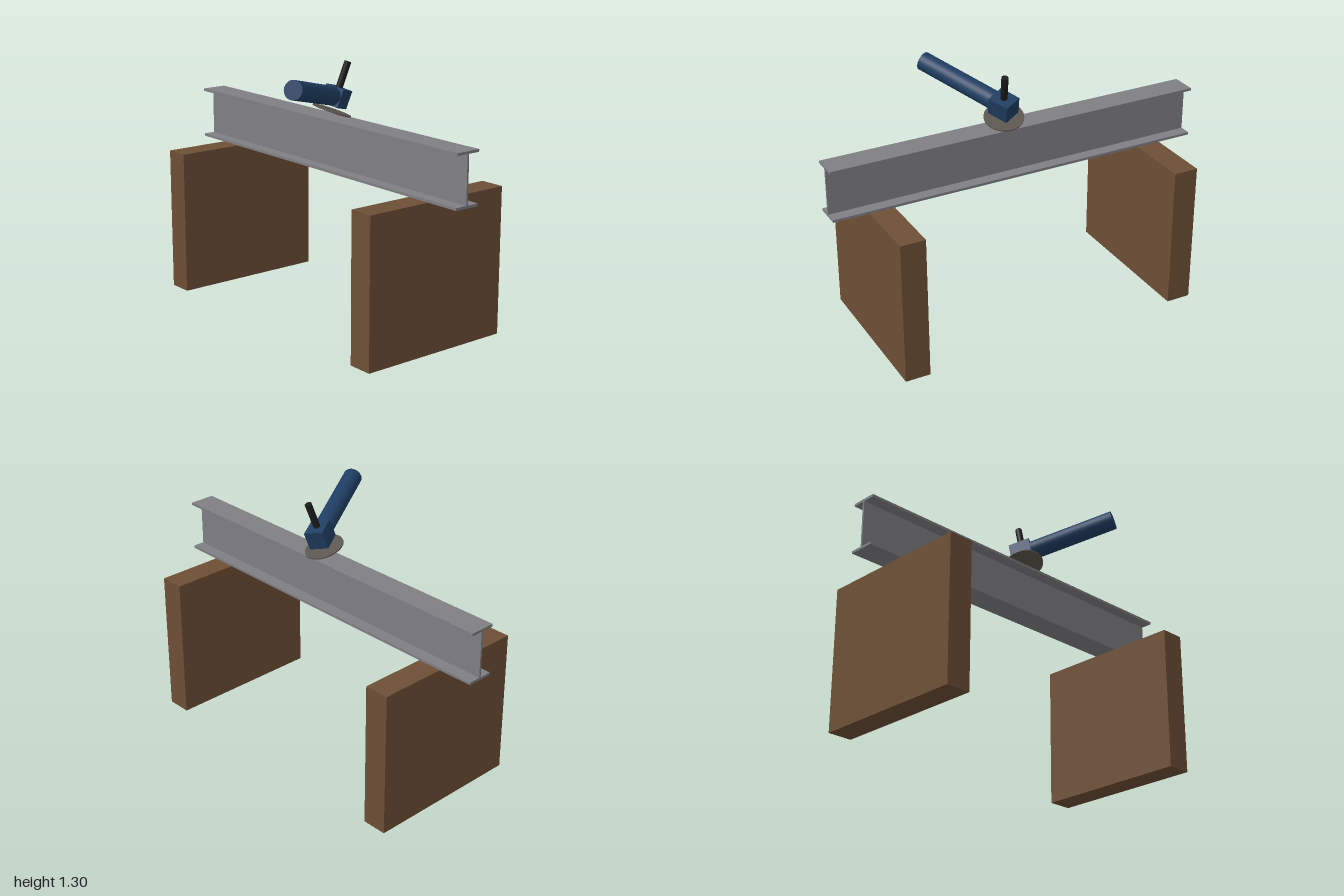
import * as THREE from 'three';

const material = (name, color) => {
  const m = new THREE.MeshStandardMaterial({ color });
  m.name = name;
  return m;
};

export function createModel() {
  const wood = material('brown wood', 0x6d4f35);
  const steel = material('grey steel', 0x7f7e84);
  const blue = material('blue casing', 0x1f3e63);
  const black = material('black rubber', 0x1c1c1c);
  const abrasive = material('abrasive grey', 0x5c5650);

  const model = new THREE.Group();
  model.name = 'beamOnTrestlesWithGrinder';

  const add = (parent, name, geometry, mat, x, y, z) => {
    const mesh = new THREE.Mesh(geometry, mat);
    mesh.name = name;
    mesh.position.set(x, y, z);
    parent.add(mesh);
    return mesh;
  };

  // Two solid trestles
  const midX = 0.02;
  for (const side of [1, -1]) {
    add(model, side > 0 ? 'frontTrestle' : 'backTrestle',
      new THREE.BoxGeometry(0.83, 0.75, 0.13), wood, midX, 0.375, side * 0.75);
  }

  // I-beam extruded along z
  const w = 0.0675, t = 0.005, h = 0.266, f = 0.013;
  const section = new THREE.Shape([
    [-w, 0], [w, 0], [w, f], [t, f], [t, h - f], [w, h - f],
    [w, h], [-w, h], [-w, h - f], [-t, h - f], [-t, f], [-w, f],
  ].map(([x, y]) => new THREE.Vector2(x, y)));
  add(model, 'steelBeam',
    new THREE.ExtrudeGeometry(section, { depth: 2, bevelEnabled: false }),
    steel, midX, 0.75, -1);

  // Angle grinder: local x runs along the body, local y is the disc axis
  const grinder = new THREE.Group();
  grinder.name = 'angleGrinder';
  const along = new THREE.Vector3(0.869, -0.229, -0.44).normalize();
  const side = new THREE.Vector3().crossVectors(along, new THREE.Vector3(0.314, 0.943, 0.12)).normalize();
  const up = new THREE.Vector3().crossVectors(side, along);
  grinder.quaternion.setFromRotationMatrix(new THREE.Matrix4().makeBasis(along, up, side));
  grinder.position.set(0.023, 1.123, 0.064);
  model.add(grinder);

  add(grinder, 'gearHead', new THREE.BoxGeometry(0.112, 0.095, 0.1), blue, 0, 0, 0);
  const body = add(grinder, 'motorBody',
    new THREE.CylinderGeometry(0.048, 0.048, 0.455, 32), blue, -0.2775, 0, 0);
  body.rotation.z = Math.PI / 2;
  add(grinder, 'sideHandle', new THREE.CylinderGeometry(0.0175, 0.0175, 0.145, 24), black, 0, 0.11, 0);
  add(grinder, 'grindingDisc', new THREE.CylinderGeometry(0.1, 0.1, 0.006, 48), abrasive, 0.005, -0.073, 0);

  return model;
}
